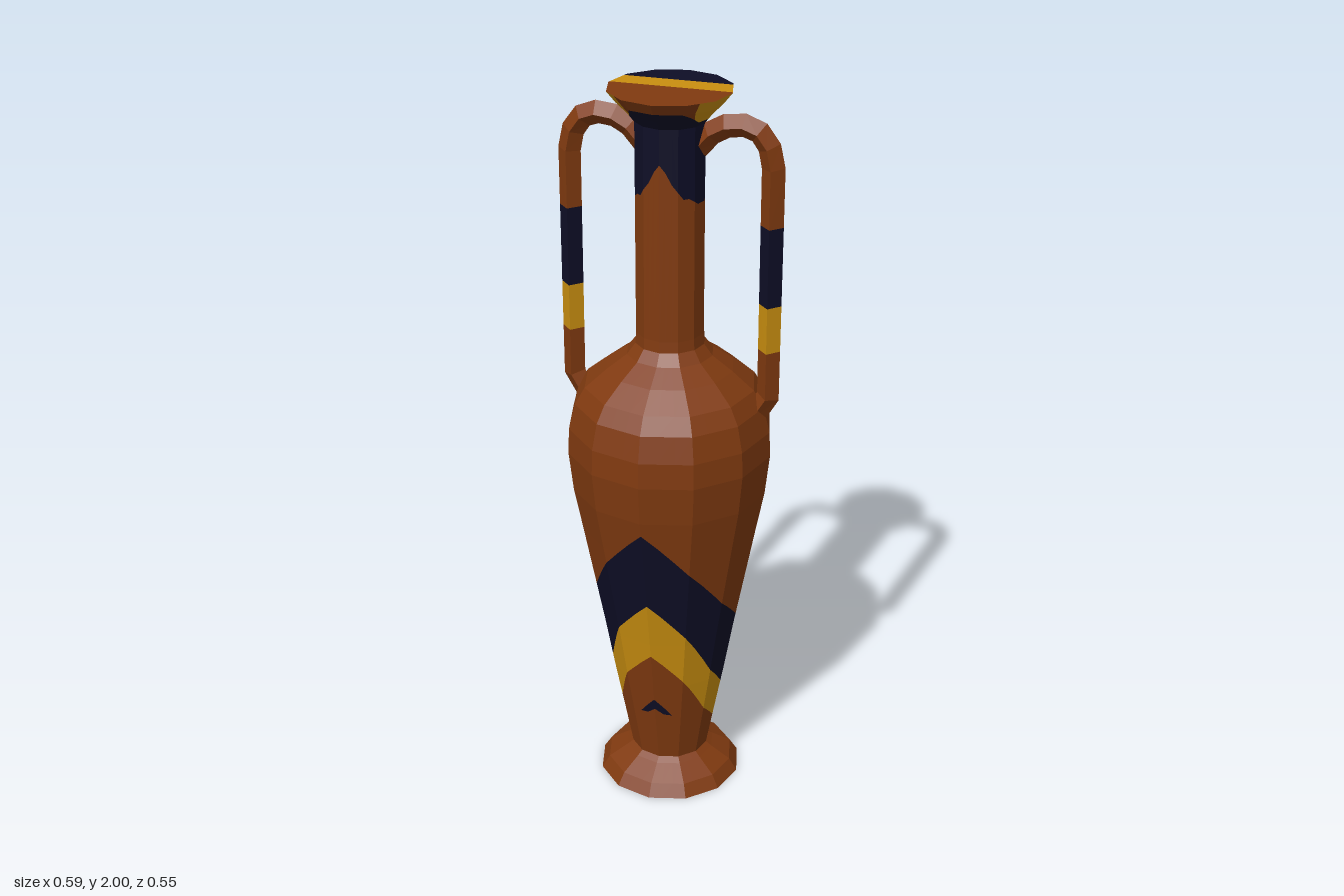
import * as THREE from 'three';

const flat = (name, color) => Object.assign(new THREE.MeshStandardMaterial({ color, flatShading: true }), { name });
const V = (x, y, z) => new THREE.Vector3(x, y, z);
const SIDES = 12, SUB = 3;
const CLAY = 0, NAVY = 1, GOLD = 2;

// Point on the twelve-sided section; i counts SUB steps along each straight side
function ringPoint(r, y, i) {
  const k = Math.floor(i / SUB), t = (i % SUB) / SUB;
  const a = (k * 2 * Math.PI) / SIDES, b = ((k + 1) * 2 * Math.PI) / SIDES;
  return V(r * (Math.sin(a) * (1 - t) + Math.sin(b) * t), y, r * (Math.cos(a) * (1 - t) + Math.cos(b) * t));
}

// Faceted turned surface from [radius, height] pairs, listed upwards
function turned(profile) {
  const polys = [];
  for (let p = 0; p < profile.length - 1; p++) {
    const [r0, y0] = profile[p], [r1, y1] = profile[p + 1];
    for (let i = 0; i < SIDES * SUB; i++)
      polys.push([ringPoint(r0, y0, i), ringPoint(r0, y0, i + 1), ringPoint(r1, y1, i + 1), ringPoint(r1, y1, i)]);
  }
  return polys;
}

const disc = (r, y) => Array.from({ length: SIDES }, (_, i) => ringPoint(r, y, i * SUB));

// Keep the part of a polygon where sign * f > 0
function clip(poly, f, sign) {
  const out = [];
  poly.forEach((a, i) => {
    const b = poly[(i + 1) % poly.length];
    const fa = sign * f(a), fb = sign * f(b);
    if (fa >= 0) out.push(a);
    if ((fa > 0 && fb < 0) || (fa < 0 && fb > 0)) out.push(a.clone().lerp(b, fa / (fa - fb)));
  });
  return out.length > 2 ? out : null;
}

// Cut the surface into colour zones in order; whatever is left is clay
function painted(name, polys, zones, materials) {
  const byColour = [[], [], []];
  let rest = polys;
  for (const [colour, f] of zones) {
    byColour[colour].push(...rest.map(p => clip(p, f, 1)).filter(Boolean));
    rest = rest.map(p => clip(p, f, -1)).filter(Boolean);
  }
  byColour[CLAY].push(...rest);
  const points = [], geometry = new THREE.BufferGeometry();
  byColour.forEach((list, colour) => {
    const start = points.length;
    for (const p of list) for (let i = 1; i < p.length - 1; i++) points.push(p[0], p[i], p[i + 1]);
    if (points.length > start) geometry.addGroup(start, points.length - start, colour);
  });
  geometry.setFromPoints(points);
  geometry.computeVertexNormals();
  const mesh = new THREE.Mesh(geometry, materials);
  mesh.name = name;
  return mesh;
}

// Angle away from the front in degrees, 0 to 180 on both sides
const turn = p => Math.abs(Math.atan2(p.x, p.z)) * 180 / Math.PI;

// Above a line whose heights are spaced evenly from front to back
const above = heights => p => {
  const s = turn(p) / 180 * (heights.length - 1);
  const i = Math.min(Math.floor(s), heights.length - 2);
  return p.y - THREE.MathUtils.lerp(heights[i], heights[i + 1], s - i);
};

// Diamond-section handle swept along a bent path
function handlePolys(side) {
  const path = [[.07, 1.855], [.105, 1.895], [.145, 1.917], [.19, 1.922], [.228, 1.908], [.254, 1.872],
    [.265, 1.82], [.265, 1.205], [.232, 1.15]].map(([x, y]) => V(x, y, 0));
  const r = .03;
  const rings = path.map((p, i) => {
    const t = path[Math.min(i + 1, path.length - 1)].clone().sub(p).normalize()
      .add(p.clone().sub(path[Math.max(i - 1, 0)]).normalize()).normalize();
    const nx = -t.y * r, ny = t.x * r;
    return [V(p.x + nx, p.y + ny, 0), V(p.x, p.y, r), V(p.x - nx, p.y - ny, 0), V(p.x, p.y, -r)];
  });
  const polys = [rings[rings.length - 1]];
  for (let i = 0; i < rings.length - 1; i++)
    for (let k = 0; k < 4; k++) {
      const n = (k + 1) % 4;
      polys.push([rings[i][k], rings[i][n], rings[i + 1][n], rings[i + 1][k]]);
    }
  if (side > 0) return polys;
  return polys.map(p => p.map(v => V(-v.x, v.y, v.z)).reverse());
}

export function createModel() {
  const group = new THREE.Group();
  group.name = 'amphora';
  const materials = [flat('clay', 0x803a10), flat('navy', 0x0e0e26), flat('gold', 0xc98e10)];
  const add = (name, polys, zones = []) => group.add(painted(name, polys, zones, materials));

  // Foot with closed underside
  add('foot', [disc(.2, 0).reverse(), ...turned([[.2, 0], [.178, .035], [.125, .068], [.108, .08]])]);

  // Body with chevron bands that level out round the back
  const chevron = above([.30, .21, .12, .10, .10, .10, .10]);
  add('body', turned([[.108, .08], [.13, .2], [.158, .35], [.184, .5], [.212, .65], [.24, .8], [.263, .92],
    [.275, 1.03], [.272, 1.1], [.255, 1.17], [.228, 1.215], [.17, 1.262], [.115, 1.3], [.092, 1.33]]), [
    [CLAY, above([.88, .75, .62, .53, .53, .53, .53])],
    [NAVY, above([.64, .53, .385, .30, .30, .30, .30])],
    [GOLD, above([.46, .37, .245, .18, .18, .18, .18])],
    [CLAY, chevron],
    [NAVY, p => Math.min(chevron(p) + .035, .045 - Math.abs(p.x))],
  ]);

  // Neck, dark at the top with clay notches at the front and rear
  add('neck', turned([[.092, 1.33], [.09, 1.36], [.09, 1.92]]), [
    [NAVY, above([1.83, 1.81, 1.78, 1.76, 1.74, 1.74, 1.73, 1.72, 1.72, 1.72, 1.72, 1.72, 1.72, 1.72,
      1.80, 1.85, 1.84, 1.73, 1.72])],
  ]);

  // Flared rim, gold at the sides
  const rimLine = above([1.97, 1.97, 1.935, 1.93, 1.935, 1.95, 1.965]);
  add('rim', turned([[.09, 1.92], [.11, 1.945], [.135, 1.97], [.159, 2]]), [
    [GOLD, p => Math.min(rimLine(p), (37 - Math.abs(turn(p) - 82)) / 500)],
    [CLAY, rimLine],
    [NAVY, () => 1],
  ]);

  // Striped flat top
  add('top', [disc(.159, 2)], [
    [NAVY, p => -.068 - p.z],
    [GOLD, p => -.005 - p.z],
  ]);

  // Pair of banded handles
  for (const [name, side] of [['leftHandle', 1], ['rightHandle', -1]])
    add(name, handlePolys(side), [
      [CLAY, p => p.y - 1.67],
      [NAVY, p => p.y - 1.46],
      [GOLD, p => p.y - 1.335],
    ]);

  return group;
}
